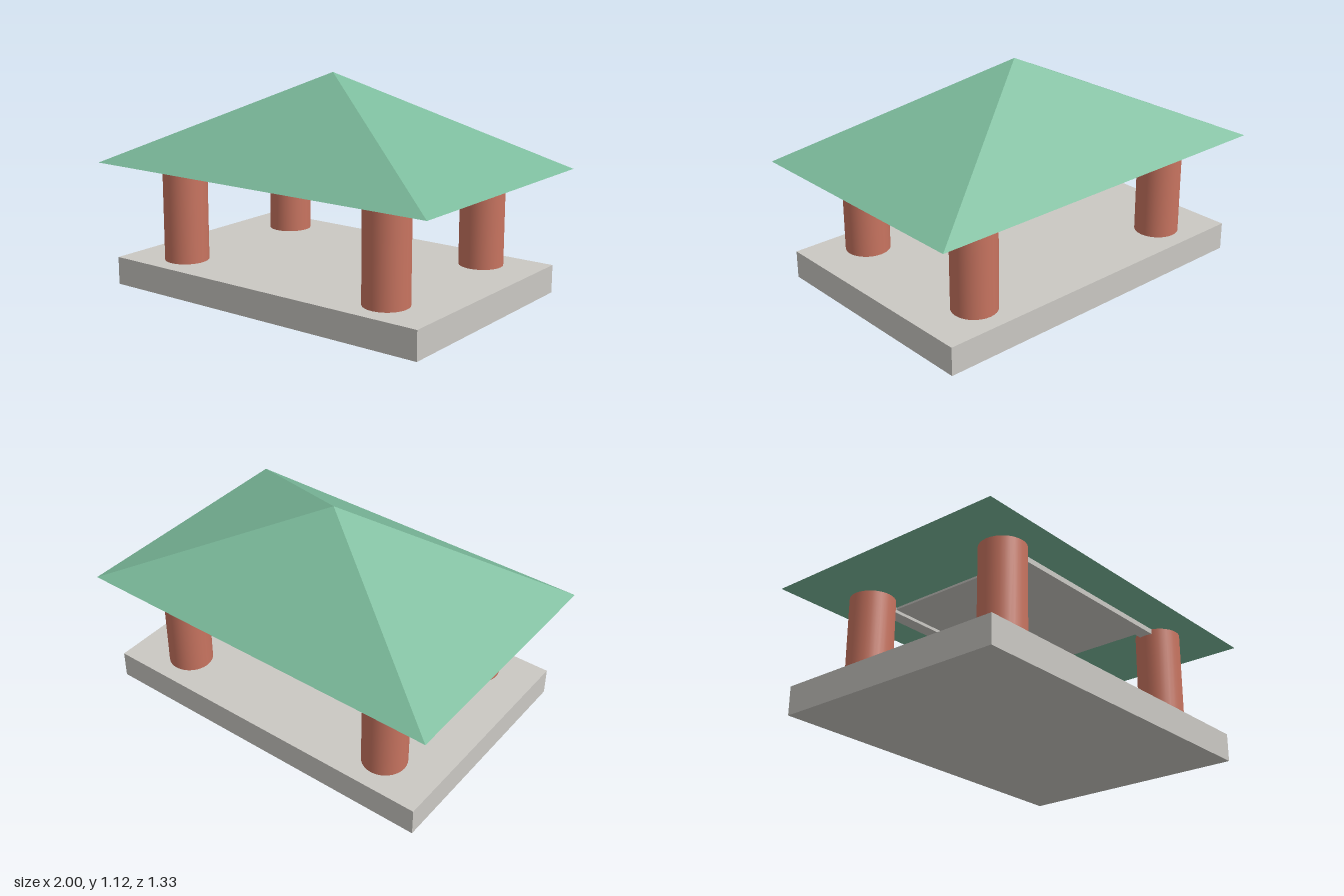
import * as THREE from 'three';

export function createModel() {
  const model = new THREE.Group();
  const stone = new THREE.MeshStandardMaterial({ color: 0xcac8c3 });
  const clay = new THREE.MeshStandardMaterial({ color: 0xc87460 });
  const tile = new THREE.MeshStandardMaterial({ color: 0x7cbb9c, flatShading: true });

  const add = (name, geometry, material, x, y, z) => {
    const mesh = new THREE.Mesh(geometry, material);
    mesh.name = name;
    mesh.position.set(x, y, z);
    model.add(mesh);
  };

  const baseTop = 0.145, eaves = 0.645, apex = 1.12;
  const colX = 0.628, colZ = 0.42;

  // Base slab
  add('base', new THREE.BoxGeometry(1.86, baseTop, 1.24), stone, 0, baseTop / 2, 0);

  // Four corner columns
  const colH = eaves - baseTop;
  const column = new THREE.CylinderGeometry(0.114, 0.114, colH, 32);
  for (const sx of [-1, 1]) {
    for (const sz of [-1, 1]) {
      add('column', column, clay, sx * colX, baseTop + colH / 2, sz * colZ);
    }
  }

  // Long beams joining the columns, front and back
  const beam = new THREE.BoxGeometry(2 * colX, 0.027, 0.07);
  for (const sz of [-1, 1]) add('beam', beam, stone, 0, eaves - 0.0135, sz * colZ);

  // Thin ceiling panel between the beams
  add('ceiling', new THREE.BoxGeometry(1.0, 0.011, 0.8), stone, 0, eaves - 0.0055, 0);

  // Pyramid roof: a four-sided cone squared to the axes and stretched to the eaves
  const roofH = apex - eaves;
  const roof = new THREE.ConeGeometry(Math.SQRT2, roofH, 4);
  roof.rotateY(Math.PI / 4);
  roof.scale(1, 1, 0.667);
  add('roof', roof, tile, 0, eaves + roofH / 2, 0);

  return model;
}
